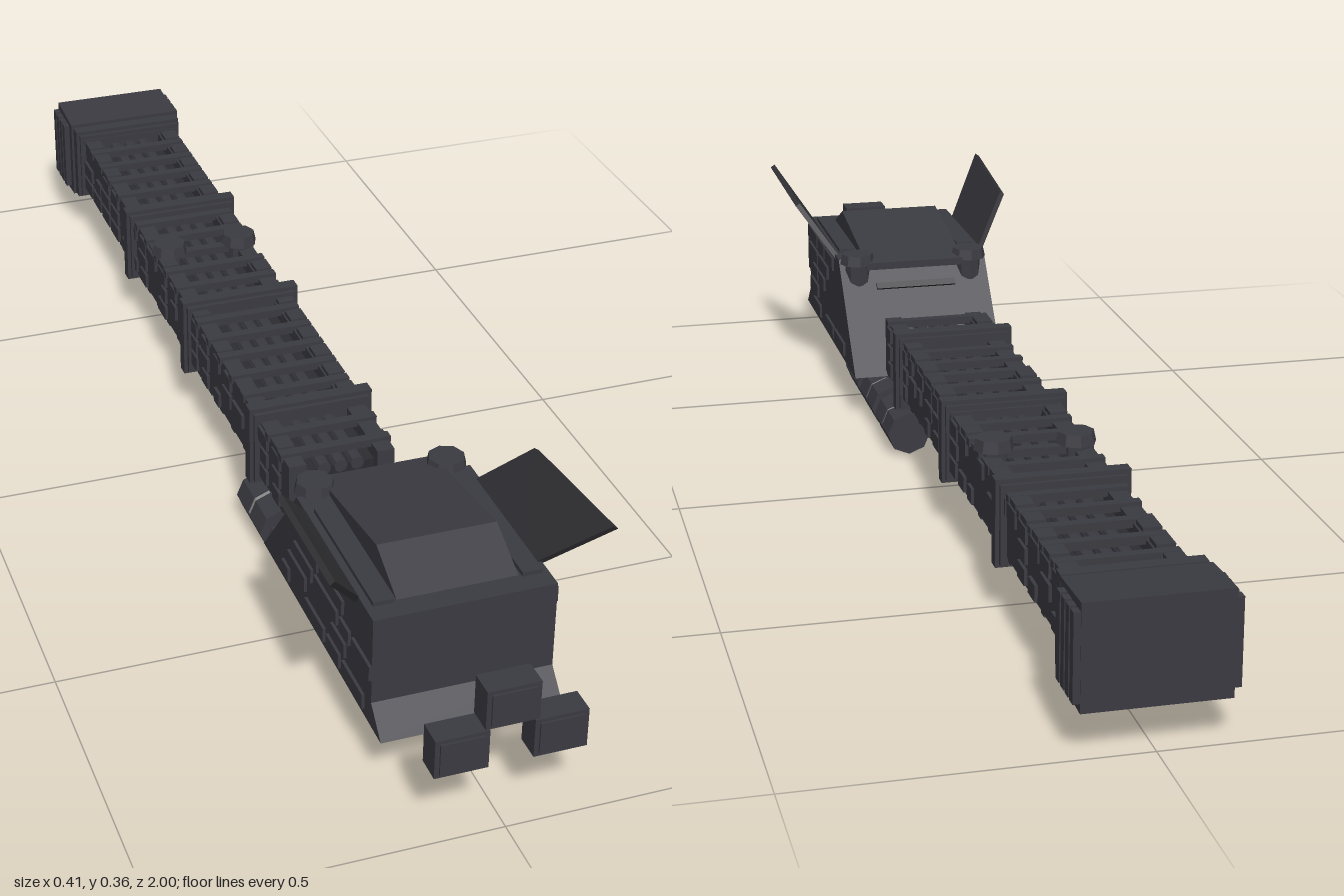
import * as THREE from 'three';

export function createModel() {
  const model = new THREE.Group();
  const material = (name, color) => Object.assign(new THREE.MeshStandardMaterial({ color, flatShading: true }), { name });
  const plating = material('dark plating', 0x3a3a41);
  const finPaint = material('fin plating', 0x323236);
  const recess = material('recess', 0x2c2c31);
  const trim = material('light trim', 0x8c8c8c);
  finPaint.side = THREE.DoubleSide;

  const add = (name, geometry, mat, parent = model) => {
    const mesh = new THREE.Mesh(geometry, mat);
    mesh.name = name;
    parent.add(mesh);
    return mesh;
  };
  // box given by its limits
  const box = (name, x0, x1, y0, y1, z0, z1, mat = plating, parent = model) => {
    const mesh = add(name, new THREE.BoxGeometry(x1 - x0, y1 - y0, z1 - z0), mat, parent);
    mesh.position.set((x0 + x1) / 2, (y0 + y1) / 2, (z0 + z1) / 2);
    return mesh;
  };
  // side profile given as [z, y], extruded across x
  const profile = (name, points, x0, x1, mat = plating) => {
    const shape = new THREE.Shape(points.map(([z, y]) => new THREE.Vector2(-z, y)));
    const g = new THREE.ExtrudeGeometry(shape, { depth: x1 - x0, bevelEnabled: false });
    g.rotateY(Math.PI / 2).translate(x0, 0, 0);
    return add(name, g, mat);
  };
  const group = (name) => {
    const g = new THREE.Group();
    g.name = name;
    model.add(g);
    return g;
  };
  let seed = 7;
  const random = () => (seed = (seed * 16807) % 2147483647) / 2147483647;

  // command hull with sloped back and stepped front
  profile('hull', [[0.87, 0.078], [0.83, 0.118], [0.83, 0.257], [0.515, 0.257], [0.365, 0.078]], -0.133, 0.138);
  profile('canopy', [[0.82, 0.245], [0.715, 0.295], [0.475, 0.258], [0.475, 0.245]], -0.086, 0.094);
  // raised strip along each edge of the roof
  for (const s of [-1, 1]) box('roofEdge', 0.003 + s * 0.11 - 0.015, 0.003 + s * 0.11 + 0.015, 0.255, 0.264, 0.56, 0.8);

  // slot on the back slope
  const slot = box('backSlot', -0.07, 0.075, -0.004, 0.004, -0.006, 0.006, recess);
  slot.position.set(0.003, 0.213, 0.477);
  slot.rotation.x = -0.87;

  // rows of small armour plates on the hull sides
  const hullPlates = group('hullSidePlates');
  for (const s of [-1, 1]) {
    for (let row = 0; row < 5; row++) {
      const y = 0.09 + row * 0.033;
      let z = 0.46 + row * 0.026;
      while (z < 0.78) {
        const length = 0.03 + random() * 0.07;
        const x = 0.0025 + s * 0.1365;
        if (random() > 0.35) box('hullPlate', x - 0.0035, x + 0.0035, y, y + 0.024, z, Math.min(z + length, 0.83), plating, hullPlates);
        z += length + 0.012;
      }
    }
  }

  // swept fins leaning outward
  for (const s of [-1, 1]) {
    const corners = [[0.126, 0.24, 0.76], [0.203, 0.355, 0.86], [0.194, 0.337, 0.62], [0.126, 0.24, 0.54]];
    const nx = 0.83 * 0.0045, ny = -0.56 * 0.0045;
    const pos = [];
    for (const t of [1, -1]) for (const [x, y, z] of corners) pos.push(s * (x + t * nx), y + t * ny, z);
    const index = [0, 2, 1, 0, 3, 2, 4, 5, 6, 4, 6, 7];
    for (let i = 0; i < 4; i++) {
      const j = (i + 1) % 4;
      index.push(i, j, j + 4, i, j + 4, i + 4);
    }
    if (s < 0) for (let i = 0; i < index.length; i += 3) [index[i], index[i + 1]] = [index[i + 1], index[i]];
    const g = new THREE.BufferGeometry();
    g.setAttribute('position', new THREE.Float32BufferAttribute(pos, 3));
    g.setIndex(index);
    const flat = g.toNonIndexed();
    flat.computeVertexNormals();
    add(s > 0 ? 'leftFin' : 'rightFin', flat, finPaint);
  }

  // octagonal turrets on a short neck
  const turret = (name, x, y, z) => {
    const g = group(name);
    g.position.set(x, y, z);
    add('turretNeck', new THREE.CylinderGeometry(0.022, 0.022, 0.04, 8), plating, g).position.y = -0.02;
    add('turretCap', new THREE.CylinderGeometry(0.028, 0.032, 0.018, 8), plating, g).position.y = 0.007;
  };
  for (const s of [-1, 1]) {
    turret('hullTurret', 0.003 + s * 0.103, 0.255, 0.5);
    turret('spineTurret', s * 0.064, 0.203, -0.37);
  }

  // three detached nose blocks with framed faces
  for (const [x, y] of [[-0.068, 0.141], [0.075, 0.141], [0.003, 0.205]]) {
    const g = group('noseBlock');
    box('block', x - 0.039, x + 0.039, y - 0.031, y + 0.031, 0.957, 0.997, plating, g);
    box('blockFace', x - 0.032, x + 0.032, y - 0.025, y + 0.025, 0.996, 1, plating, g);
  }

  // octagonal tanks slung under the hull
  for (const x of [-0.076, 0.082]) {
    for (const z of [0.508, 0.37, 0.226]) {
      const tank = group('tank');
      tank.position.set(x, 0.038, z);
      for (const s of [-1, 1]) {
        const half = add('tankHalf', new THREE.CylinderGeometry(0.037, 0.037, 0.054, 8), plating, tank);
        half.rotation.x = Math.PI / 2;
        half.position.z = s * 0.032;
      }
      const ring = add('tankRing', new THREE.CylinderGeometry(0.0345, 0.0345, 0.012, 8), trim, tank);
      ring.rotation.x = Math.PI / 2;
    }
  }

  // long spine: core, side walls and lengthwise pipes
  box('spineCore', -0.06, 0.06, 0.118, 0.172, -0.92, 0.33, recess);
  for (const s of [-1, 1]) box('spineWall', s * 0.072 - 0.014, s * 0.072 + 0.014, 0.096, 0.193, -0.92, 0.345);
  for (const x of [-0.027, 0, 0.027]) {
    const pipe = add('spinePipe', new THREE.CylinderGeometry(0.011, 0.011, 1.25, 8), plating);
    pipe.rotation.x = Math.PI / 2;
    pipe.position.set(x, 0.176, -0.285);
  }

  // cross ribs above and below, and plates on the walls
  const ribs = group('spineRibs');
  const plates = group('spineSidePlates');
  for (let i = 0; i < 20; i++) {
    const z = 0.31 - i * 0.062;
    box('topRib', -0.09, 0.09, 0.186, 0.199, z - 0.008, z + 0.008, plating, ribs);
    box('bottomRib', -0.086, 0.086, 0.092, 0.106, z - 0.009, z + 0.009, plating, ribs);
    for (const s of [-1, 1]) {
      for (let row = 0; row < 3; row++) {
        if (random() < 0.3) continue;
        const length = 0.025 + random() * 0.03;
        const y = 0.1 + row * 0.032;
        box('wallPlate', s * 0.087 - 0.004, s * 0.087 + 0.004, y, y + 0.025, z - length, z, plating, plates);
      }
      if (random() > 0.5) box('wallBlock', s * 0.075 - 0.014, s * 0.075 + 0.014, 0.19, 0.2, z - 0.045, z - 0.012, plating, plates);
    }
  }

  // four heavy collars, each a pair of bands
  for (const z of [0.19, -0.17, -0.525, -0.88]) {
    box('collar', -0.096, 0.096, 0.083, 0.207, z - 0.018, z + 0.018);
    box('collarBand', -0.102, 0.102, 0.078, 0.214, z - 0.011, z + 0.011);
  }

  // tail block with upright grooves along its sides
  profile('tailBlock', [[-0.9, 0.07], [-0.9, 0.216], [-1, 0.221], [-1, 0.066]].reverse(), -0.104, 0.104);
  for (let i = 0; i < 4; i++) {
    const z = -0.917 - i * 0.022;
    for (const s of [-1, 1]) box('tailRib', s * 0.105 - 0.009, s * 0.105 + 0.009, 0.08, 0.208, z - 0.016, z);
  }
  return model;
}
